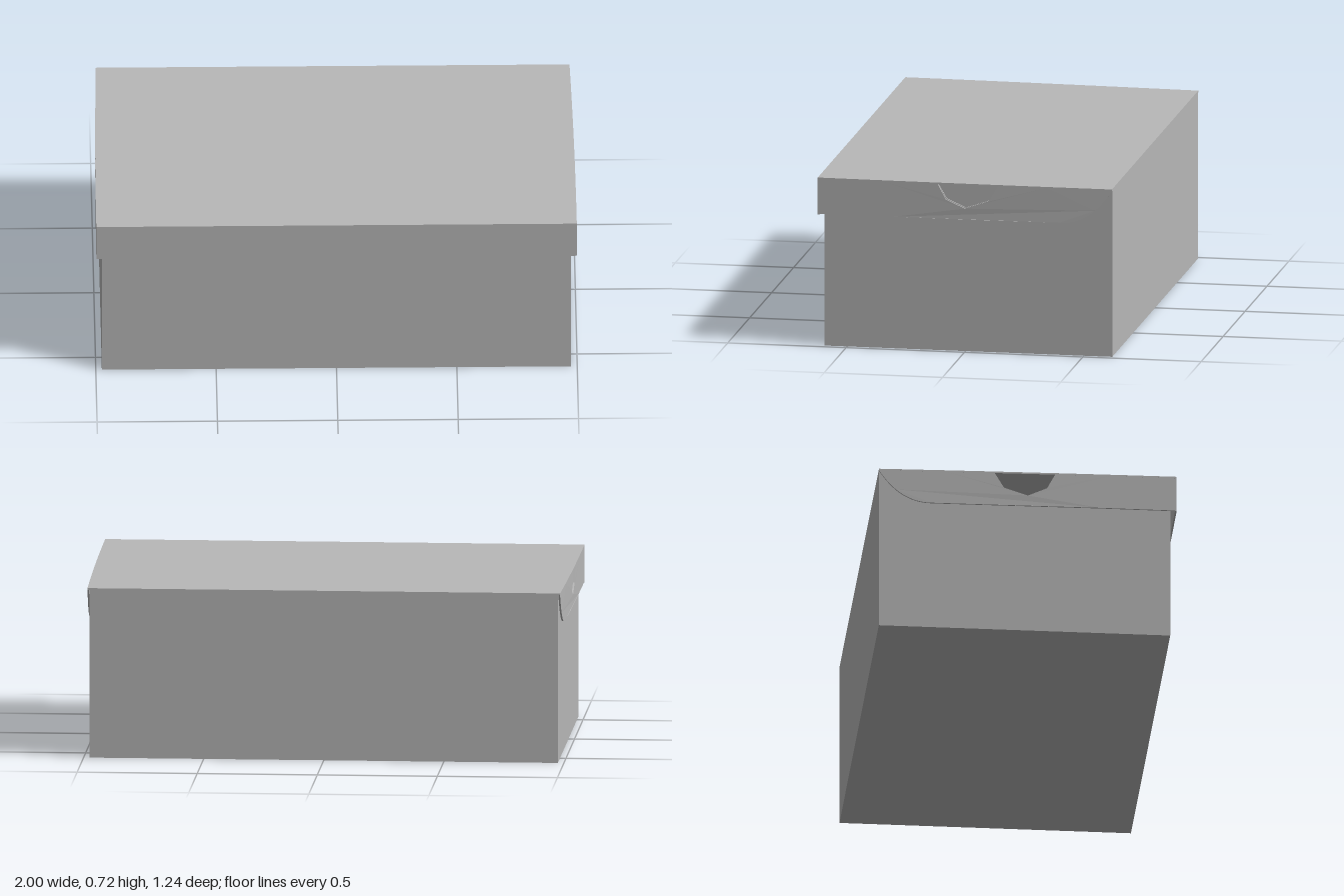
import * as THREE from 'three';

const cardboard = new THREE.MeshStandardMaterial({ color: 0xb8b8b8 });
cardboard.name = 'grey cardboard';

const T = 0.007;      // card thickness
const BACK = -0.62;   // hinge line
const FRONT = 0.62;   // front of the lid
const BODY_FRONT = 0.595;
const BODY_X = 0.975;
const LID_X = 0.998;
const LID_TOP = 0.718;

// finger notch in a side panel, as (z, y) points from back to front
const notch = [[-0.14, 0.72], [-0.1, 0.643], [0, 0.609], [0.08, 0.645], [0.115, 0.72]];

// panel drawn in the z-y plane and given thickness along x, from -T to 0
function sidePanel(outline) {
  const shape = new THREE.Shape(outline.map(([z, y]) => new THREE.Vector2(z, y)));
  const geometry = new THREE.ExtrudeGeometry(shape, { depth: T, bevelEnabled: false });
  return geometry.rotateY(-Math.PI / 2);
}

// box given by its two opposite corners
function slab(x0, x1, y0, y1, z0, z1, zSegments = 1) {
  const geometry = new THREE.BoxGeometry(x1 - x0, y1 - y0, z1 - z0, 1, 1, zSegments);
  return geometry.translate((x0 + x1) / 2, (y0 + y1) / 2, (z0 + z1) / 2);
}

// the lid narrows and sinks slightly towards the hinge
function fitLid(geometry) {
  const p = geometry.attributes.position;
  for (let i = 0; i < p.count; i++) {
    const back = (FRONT - p.getZ(i)) / (FRONT - BACK);
    p.setX(i, p.getX(i) * (1 - 0.014 * back * back));
    p.setY(i, p.getY(i) - 0.005 * back);
  }
  geometry.computeVertexNormals();
  return geometry;
}

function add(group, name, geometry) {
  const mesh = new THREE.Mesh(geometry, cardboard);
  mesh.name = name;
  group.add(mesh);
}

export function createModel() {
  const model = new THREE.Group();
  model.name = 'shoebox';
  const body = new THREE.Group();
  body.name = 'body';
  const lid = new THREE.Group();
  lid.name = 'lid';
  model.add(body, lid);

  // hollow body: floor, front and back walls
  add(body, 'floor', slab(-BODY_X, BODY_X, 0, T, BACK, BODY_FRONT));
  add(body, 'frontWall', slab(-BODY_X, BODY_X, 0, 0.705, BODY_FRONT - T, BODY_FRONT));
  add(body, 'backWall', slab(-BODY_X, BODY_X, 0, 0.708, BACK, BACK + T));

  // side walls, open at the top where the notch is cut
  const bodyNotch = notch.map(([z, y]) => [z, Math.min(y, 0.705)]);
  const wall = [[BACK, 0], [BODY_FRONT, 0], [BODY_FRONT, 0.705],
    ...bodyNotch.slice().reverse(), [BACK, 0.705]];

  // lid flaps: straight lower edge that sweeps up to the hinge
  const sweep = new THREE.CubicBezierCurve(
    new THREE.Vector2(BACK, 0.712), new THREE.Vector2(-0.575, 0.64),
    new THREE.Vector2(-0.51, 0.568), new THREE.Vector2(-0.4, 0.568)
  ).getPoints(14).map((v) => [v.x, v.y]);
  const top = LID_TOP - T / 2;
  const lidNotch = notch.map(([z, y]) => [z, Math.min(y + 0.003, top)]);
  const flap = [...sweep, [-0.1, 0.566], [0.3, 0.565], [FRONT, 0.563], [FRONT, top],
    [0.35, top], ...lidNotch.slice().reverse(), [-0.35, top], [BACK, top]];

  for (const [side, right] of [['left', false], ['right', true]]) {
    const place = (outline, x) => sidePanel(outline).translate(right ? -x + T : x, 0, 0);
    add(body, side + 'Wall', place(wall, BODY_X));
    add(lid, side + 'Flap', fitLid(place(flap, LID_X)));
  }

  // lid top and front lip
  add(lid, 'lidTop', fitLid(slab(-LID_X, LID_X, LID_TOP - T, LID_TOP, BACK, FRONT, 10)));
  add(lid, 'frontLip', fitLid(slab(-LID_X, LID_X, 0.56, LID_TOP - T / 2, FRONT - T, FRONT)));

  return model;
}
